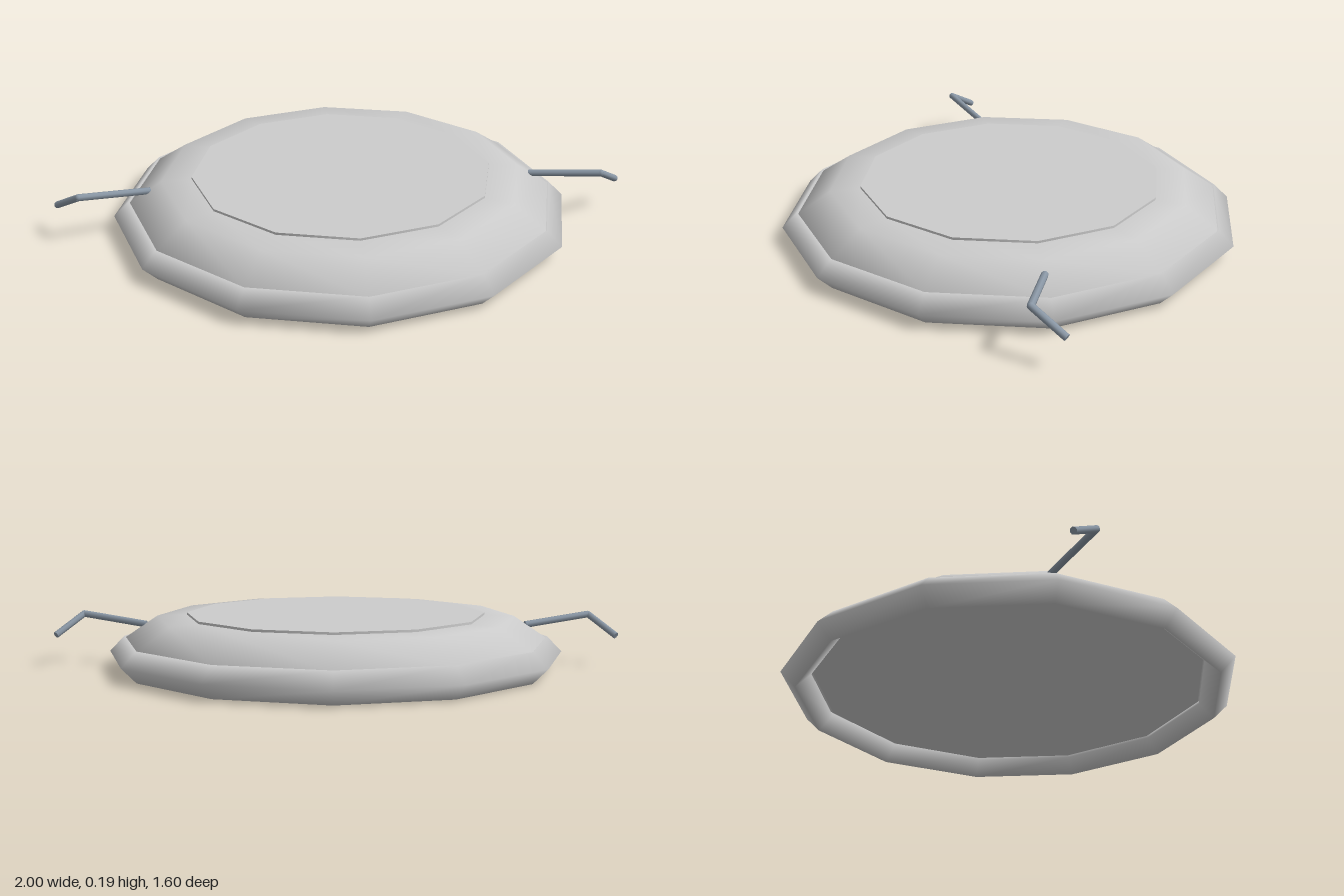
import * as THREE from 'three';

const SIDES = 12;

// Round rod between two points
function rod(a, b, radius, material, name) {
  const from = new THREE.Vector3(...a), to = new THREE.Vector3(...b);
  const dir = to.clone().sub(from);
  const mesh = new THREE.Mesh(new THREE.CylinderGeometry(radius, radius, dir.length(), 8), material);
  mesh.position.copy(from).addScaledVector(dir, 0.5);
  mesh.quaternion.setFromUnitVectors(new THREE.Vector3(0, 1, 0), dir.normalize());
  mesh.name = name;
  return mesh;
}

export function createModel() {
  const group = new THREE.Group();
  group.name = 'discBody';
  const grey = new THREE.MeshStandardMaterial({ color: 0xcccccc });
  const shell = new THREE.MeshStandardMaterial({ color: 0xcccccc, side: THREE.DoubleSide });
  const steel = new THREE.MeshStandardMaterial({ color: 0x8a97a5 });

  const add = (name, geometry, material = grey) => {
    const mesh = new THREE.Mesh(geometry, material);
    mesh.name = name;
    group.add(mesh);
    return mesh;
  };

  // Diamond-section rim
  add('rim', new THREE.TorusGeometry(0.747, 0.053, 4, SIDES).rotateX(Math.PI / 2)).position.y = 0.053;

  // Sloping upper shell
  const profile = [[0.69, 0.06], [0.745, 0.1], [0.63, 0.178], [0.52, 0.182]]
    .map(([r, y]) => new THREE.Vector2(r, y));
  add('upperShell', new THREE.LatheGeometry(profile, SIDES), shell);

  // Thin raised plate on top
  add('topPlate', new THREE.CylinderGeometry(0.525, 0.525, 0.01, SIDES)).position.y = 0.185;

  // Flat underside
  add('floor', new THREE.CircleGeometry(0.69, SIDES).rotateX(Math.PI / 2)).position.y = 0.06;

  // Bent arms on both sides
  for (const s of [1, -1]) {
    const arm = new THREE.Group();
    arm.name = s > 0 ? 'leftArm' : 'rightArm';
    const root = [s * 0.67, 0.147, 0.005], elbow = [s * 0.907, 0.174, 0.092], tip = [s * 0.991, 0.108, 0.002];
    arm.add(rod(root, elbow, 0.012, steel, 'upperArm'), rod(elbow, tip, 0.012, steel, 'forearm'));
    const joint = new THREE.Mesh(new THREE.SphereGeometry(0.012, 8, 6), steel);
    joint.name = 'elbow';
    joint.position.set(...elbow);
    arm.add(joint);
    group.add(arm);
  }
  return group;
}
